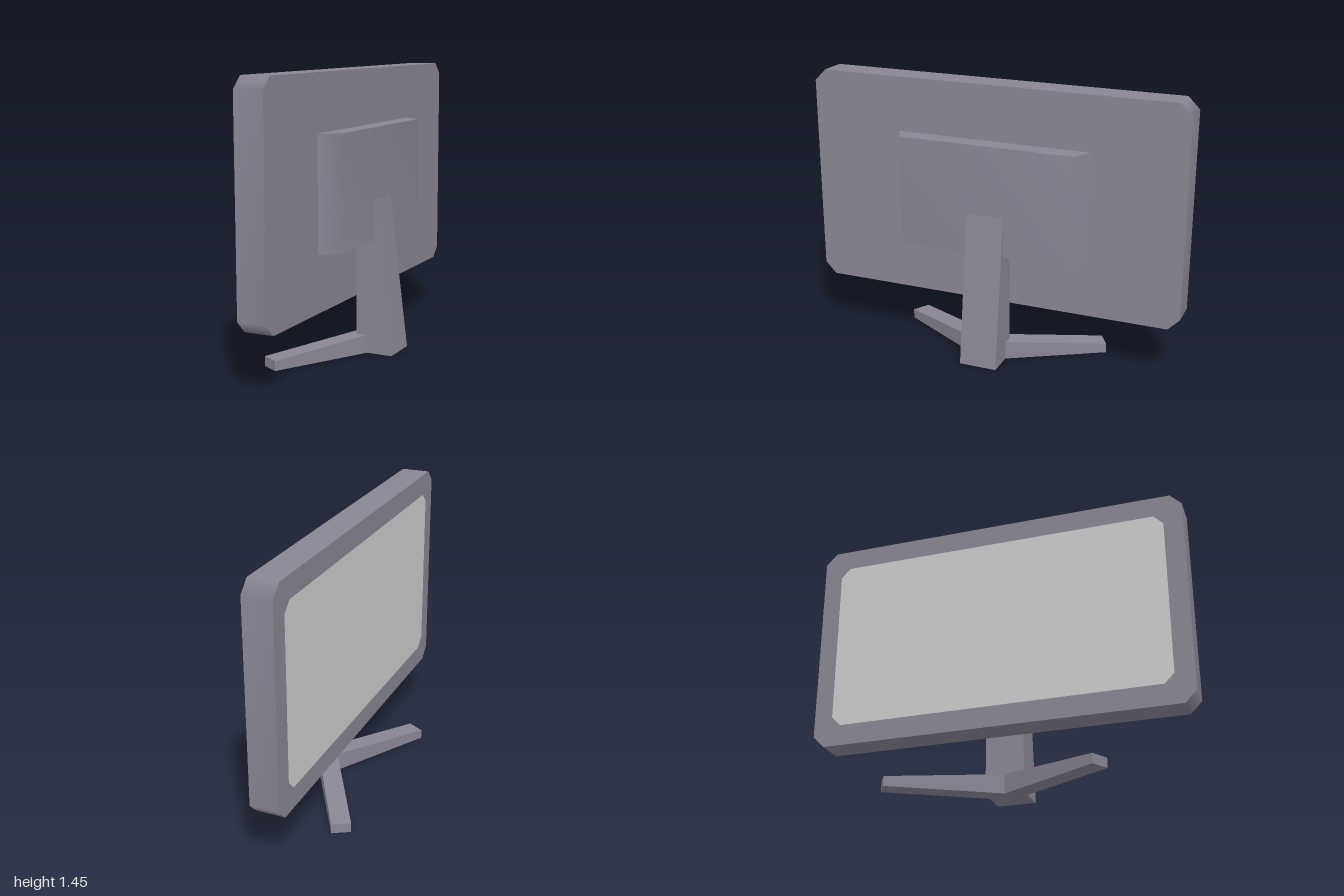
import * as THREE from 'three';
import { mergeGeometries } from 'three/addons/utils/BufferGeometryUtils.js';

// Rectangle with chamfered corners, counter-clockwise as [z, y] pairs
function chamferedRect(z, y0, y1, c) {
  return [
    [-z + c, y0], [z - c, y0], [z, y0 + c], [z, y1 - c],
    [z - c, y1], [-z + c, y1], [-z, y1 - c], [-z, y0 + c],
  ];
}

function indexed(points, index) {
  const g = new THREE.BufferGeometry();
  g.setAttribute('position', new THREE.Float32BufferAttribute(points.flat(), 3));
  g.setIndex(index);
  g.computeVertexNormals();
  return g.toNonIndexed();
}

// Flat convex cap, counter-clockwise from outside
function cap(ring) {
  const index = [];
  for (let i = 1; i < ring.length - 1; i++) index.push(0, i, i + 1);
  return indexed(ring, index);
}

// Convex solid between two rings; ring a is counter-clockwise from outside
function solid(a, b, { smooth = false, open = false } = {}) {
  const n = a.length;
  const index = [];
  for (let i = 0; i < (open ? n - 1 : n); i++) {
    const j = (i + 1) % n;
    index.push(i, n + i, n + j, i, n + j, j);
  }
  const sides = indexed([...a, ...b], index);
  if (!smooth) sides.computeVertexNormals();
  return mergeGeometries([cap(a), sides, cap([...b].reverse())]);
}

export function createModel() {
  const casing = new THREE.MeshStandardMaterial({ color: 0x8a8594 });
  casing.name = 'casing';
  const glass = new THREE.MeshStandardMaterial({ color: 0xcccccc });
  glass.name = 'screen grey';

  const model = new THREE.Group();
  model.name = 'monitor';
  const add = (name, geometry, material) => {
    const mesh = new THREE.Mesh(geometry, material);
    mesh.name = name;
    model.add(mesh);
  };

  // Display panel, facing -x, with a smooth-shaded rim
  const outline = chamferedRect(1, 0.3, 1.45, 0.06);
  add('panel', solid(
    outline.map(([z, y]) => [-0.1, y, z]),
    outline.map(([z, y]) => [0.05, y, z]),
    { smooth: true },
  ), casing);

  // Screen face just in front of the panel
  const screen = chamferedRect(0.9, 0.41, 1.34, 0.05);
  add('screen', cap(screen.map(([z, y]) => [-0.102, y, z])), glass);

  // Rear housing with slanted ends
  const hump = [[0.05, 0.515], [0.147, 0.465], [0.147, -0.465], [0.05, -0.515]];
  add('rearHousing', solid(
    hump.map(([x, z]) => [x, 1.165, z]),
    hump.map(([x, z]) => [x, 0.59, z]),
    { smooth: true, open: true },
  ), casing);

  // Tapered neck
  const wedge = [[0.05, 0], [0.247, 0], [0.147, 0.8], [0.05, 0.8]];
  add('neck', solid(
    wedge.map(([x, y]) => [x, y, 0.1]),
    wedge.map(([x, y]) => [x, y, -0.1]),
  ), casing);

  // Two splayed feet, sloping down towards their tips
  const foot = [[0.05, 0, 0.1], [-0.25, 0.52, 0.05], [-0.163, 0.57, 0.05], [0.137, 0.05, 0.1]];
  for (const side of [1, -1]) {
    const top = foot.map(([x, z, y]) => [x, y, z * side]);
    if (side < 0) top.reverse();
    const bottom = top.map(([x, , z]) => [x, 0, z]);
    add(side > 0 ? 'footPlusZ' : 'footMinusZ', solid(top, bottom), casing);
  }

  return model;
}
